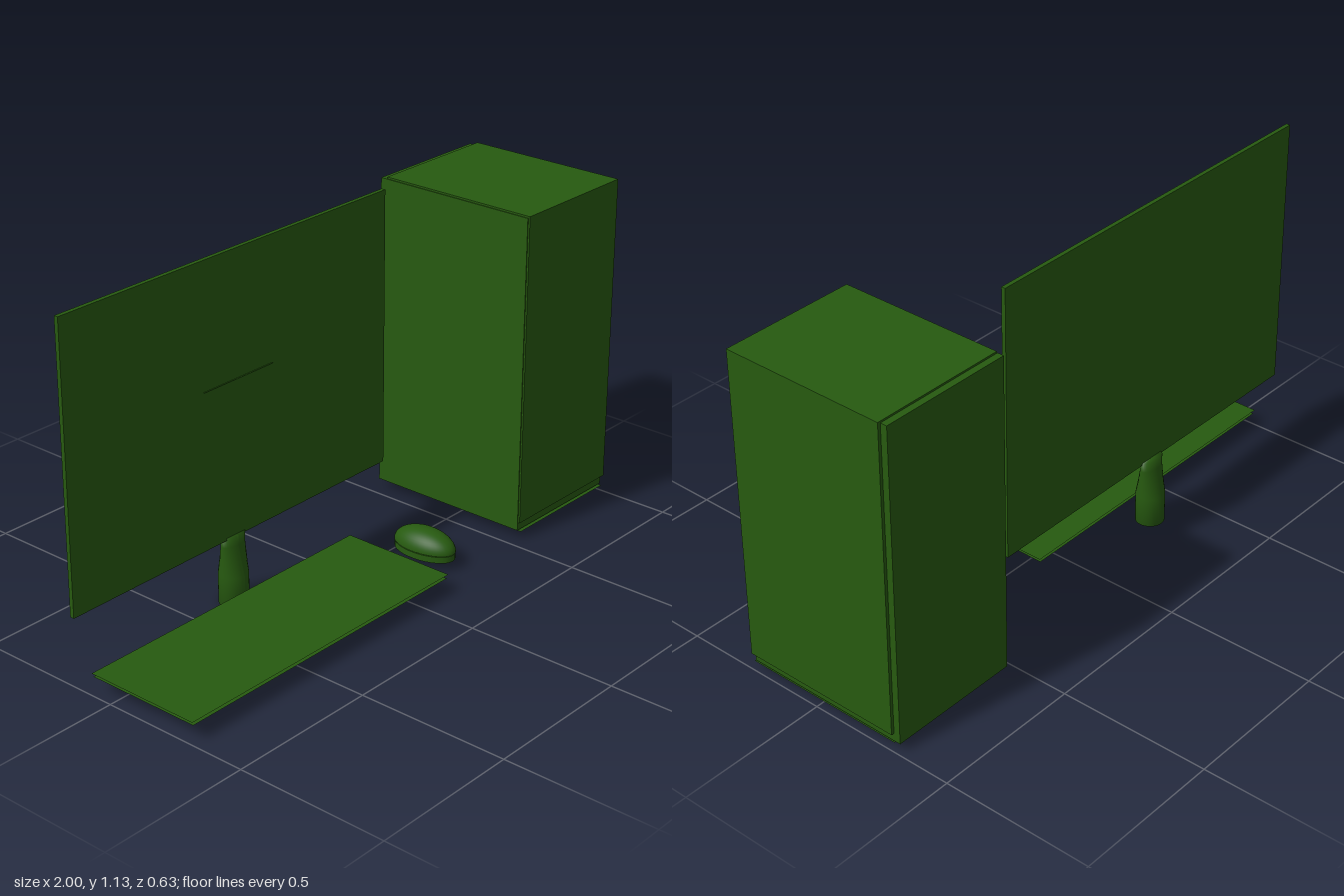
import * as THREE from 'three';

const green = new THREE.MeshStandardMaterial({ color: 0x275a10, side: THREE.DoubleSide });

function add(parent, name, geometry, x = 0, y = 0, z = 0) {
  const mesh = new THREE.Mesh(geometry, green);
  mesh.name = name;
  mesh.position.set(x, y, z);
  parent.add(mesh);
  return mesh;
}

// Box given by its lower and upper corners
function boxBetween(parent, name, [x0, y0, z0], [x1, y1, z1]) {
  return add(parent, name, new THREE.BoxGeometry(x1 - x0, y1 - y0, z1 - z0),
    (x0 + x1) / 2, (y0 + y1) / 2, (z0 + z1) / 2);
}

// Horizontal sheet at height y
function sheet(parent, name, x0, x1, y, z0, z1) {
  return add(parent, name, new THREE.PlaneGeometry(x1 - x0, z1 - z0).rotateX(-Math.PI / 2),
    (x0 + x1) / 2, y, (z0 + z1) / 2);
}

function group(parent, name) {
  const g = new THREE.Group();
  g.name = name;
  parent.add(g);
  return g;
}

export function createModel() {
  const model = new THREE.Group();
  model.name = 'desktopComputer';

  // Monitor: thin panel, screen face and a slim strip across its middle
  const monitor = group(model, 'monitor');
  boxBetween(monitor, 'monitorPanel', [-1, 0.225, -0.147], [0.34, 1.135, -0.133]);
  add(monitor, 'screen', new THREE.PlaneGeometry(1.09, 0.68), -0.34, 0.67, -0.132);
  sheet(monitor, 'screenStrip', -0.465, -0.175, 0.735, -0.133, -0.127);

  // Stand: round foot that flattens front to back as it rises
  const profile = [[0, 0], [0.047, 0], [0.047, 0.1], [0.047, 0.2], [0.047, 0.232], [0, 0.232]]
    .map(([r, y]) => new THREE.Vector2(r, y));
  const stand = new THREE.LatheGeometry(profile, 32);
  const pos = stand.attributes.position;
  for (let i = 0; i < pos.count; i++) {
    const t = THREE.MathUtils.clamp((pos.getY(i) - 0.1) / 0.1, 0, 1);
    pos.setZ(i, pos.getZ(i) * (1 - 0.5 * t));
  }
  stand.computeVertexNormals();
  add(monitor, 'stand', stand, -0.342, 0, -0.146);

  // Keyboard: two thin sheets, one above the other
  const keyboard = group(model, 'keyboard');
  sheet(keyboard, 'keyboardTop', -0.99, 0.12, 0.064, -0.082, 0.312);
  sheet(keyboard, 'keyboardBase', -0.985, 0.115, 0.052, -0.08, 0.31);

  // Mouse: oval base below a rounded shell
  const mouse = group(model, 'mouse');
  mouse.position.set(0.241, 0, 0.122);
  mouse.rotation.y = 0.04;
  const dome = new THREE.SphereGeometry(1, 32, 12, 0, Math.PI * 2, 0, Math.PI / 2);
  add(mouse, 'mouseShell', dome, 0, 0.054, 0).scale.set(0.062, 0.058, 0.111);
  const rim = new THREE.CylinderGeometry(1, 1, 1, 32);
  add(mouse, 'mouseBase', rim, 0, 0.041, 0).scale.set(0.062, 0.021, 0.109);

  // Tower: inner case reaching out at the back, wrapped by outer panels
  const tower = group(model, 'tower');
  boxBetween(tower, 'towerCase', [0.54, 0.03, -0.317], [0.99, 1.08, 0.256]);
  boxBetween(tower, 'towerPanels', [0.543, 0.057, -0.295], [1, 1.086, 0.262]);
  sheet(tower, 'towerFloor', 0.55, 0.99, 0.024, -0.295, 0.262);

  return model;
}
